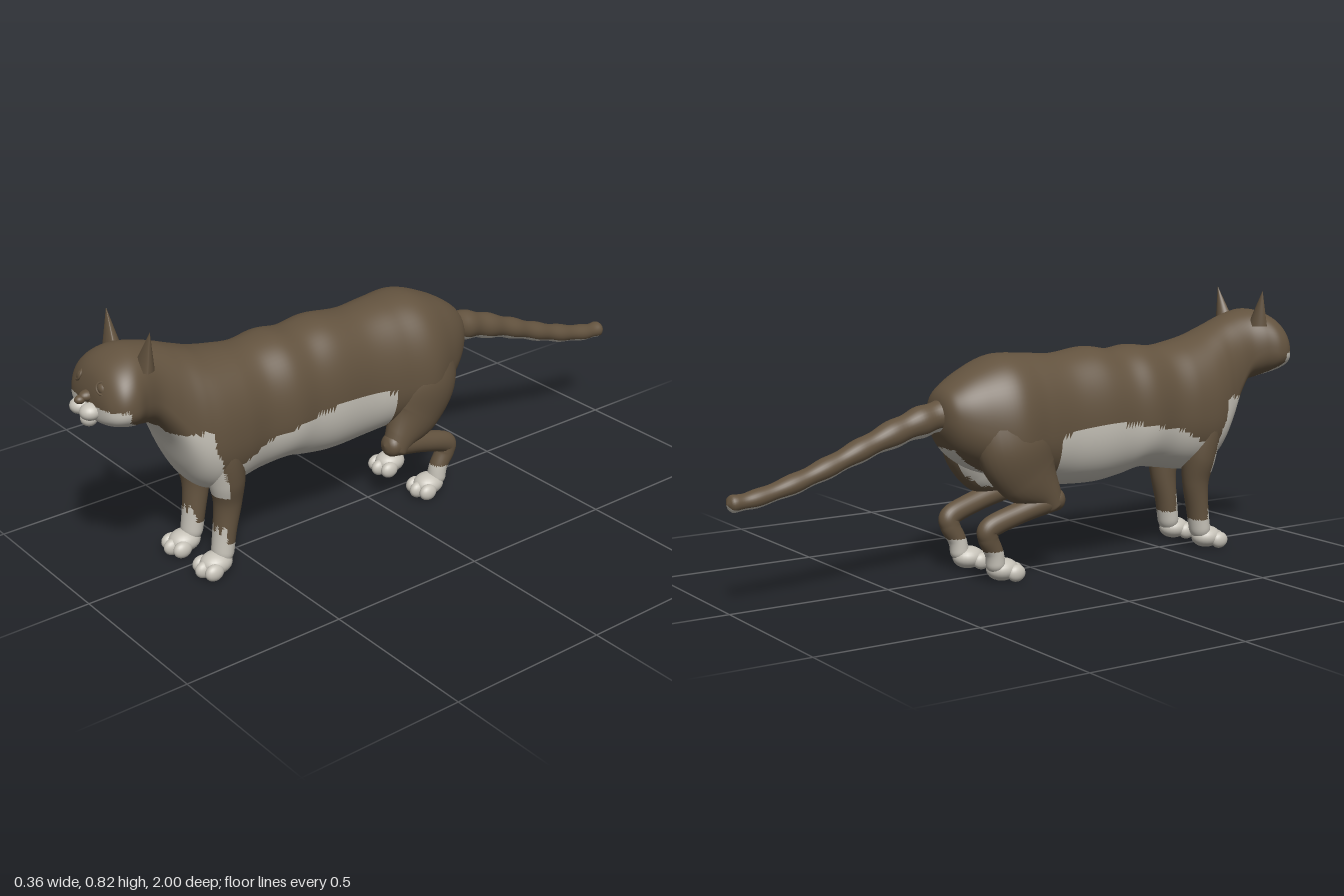
import * as THREE from 'three';

const brown = new THREE.MeshStandardMaterial({ color: 0x63533f });
brown.name = 'brown fur';
const white = new THREE.MeshStandardMaterial({ color: 0xc6c2b8 });
white.name = 'white fur';

// Skins a run of rings; isWhite(x, y, z, s) picks the colour of each face
function loft(name, rings, sides, ringPoint, isWhite) {
  const pos = [], sin = [], brownIdx = [], whiteIdx = [];
  for (let i = 0; i <= rings; i++) {
    for (let j = 0; j < sides; j++) {
      const a = (j / sides) * Math.PI * 2;
      const p = ringPoint(i / rings, Math.cos(a), Math.sin(a));
      pos.push(p.x, p.y, p.z);
      sin.push(Math.sin(a));
    }
  }
  const addFace = (...f) => {
    const mean = (k) => f.reduce((sum, v) => sum + pos[v * 3 + k], 0) / 3;
    const s = f.reduce((sum, v) => sum + sin[v], 0) / 3;
    (isWhite(mean(0), mean(1), mean(2), s) ? whiteIdx : brownIdx).push(...f);
  };
  for (let i = 0; i < rings; i++) {
    for (let j = 0; j < sides; j++) {
      const a = i * sides + j, b = i * sides + ((j + 1) % sides);
      addFace(a, b, a + sides);
      addFace(b, b + sides, a + sides);
    }
  }
  const g = new THREE.BufferGeometry();
  g.setAttribute('position', new THREE.Float32BufferAttribute(pos, 3));
  g.setIndex([...brownIdx, ...whiteIdx]);
  g.addGroup(0, brownIdx.length, 0);
  g.addGroup(brownIdx.length, whiteIdx.length, 1);
  g.computeVertexNormals();
  const mesh = new THREE.Mesh(g, [brown, white]);
  mesh.name = name;
  return mesh;
}

const curve = (pts) => new THREE.CatmullRomCurve3(pts.map((p) => new THREE.Vector3(...p)), false, 'catmullrom', 0.5);

// Round-ended limb through stations [x, y, z, side radius, depth radius]
function limb(name, stations, isWhite, wobble = () => 1, cap = 0.08) {
  const path = curve(stations.map((s) => s.slice(0, 3)));
  const radii = curve(stations.map((s) => [s[3], s[4], 0]));
  const X = new THREE.Vector3(1, 0, 0);
  return loft(name, 72, 28, (t, c, s) => {
    const p = path.getPoint(t), r = radii.getPoint(t);
    const T = path.getTangent(t);
    T.x = 0;
    const V = T.normalize().cross(X);
    const e = Math.min(1, Math.min(t, 1 - t) / cap);
    const k = Math.max(0.001, Math.sqrt(1 - (1 - e) ** 2)) * wobble(t);
    return p.addScaledVector(X, c * r.x * k).addScaledVector(V, s * r.y * k);
  }, isWhite);
}

function ball(name, material, x, y, z, rx, ry, rz) {
  const m = new THREE.Mesh(new THREE.SphereGeometry(1, 24, 16), material);
  m.name = name;
  m.position.set(x, y, z);
  m.scale.set(rx, ry, rz);
  return m;
}

// White chest bib, shared by the trunk and the upper front legs
const bib = (x, y, z) => y > 0.255 && y < 0.49 && Math.abs(x) < 0.15 && z > 0.6 + (y - 0.27) * 0.27;

function bodyWhite(x, y, z) {
  const ax = Math.abs(x);
  if (z > 0.78) return y < 0.62 && (z > 0.905 || y < 0.62 - 0.75 * (0.95 - z));
  if (bib(x, y, z)) return true;
  if (z > 0.64) return y < 0.57 && ax < 0.06;
  if (z > 0.57) return y < 0.4 && ax < 0.06;
  if (z > 0.01) return y < 0.415 + 0.03 * Math.sin((0.42 - z) * 7) - Math.max(0, z - 0.48) * 0.4;
  return y < 0.4 && ax < 0.05;
}

// Trunk, neck and head in one skin: [z, top, bottom, half width, widest height]
function makeBody() {
  const st = [
    [-0.337, 0.505, 0.495, 0.004, 0.5], [-0.325, 0.56, 0.44, 0.065, 0.5], [-0.29, 0.595, 0.38, 0.105, 0.48],
    [-0.22, 0.635, 0.33, 0.145, 0.45], [-0.13, 0.667, 0.3, 0.178, 0.43], [-0.03, 0.665, 0.27, 0.163, 0.43],
    [0.08, 0.657, 0.255, 0.15, 0.44], [0.2, 0.67, 0.25, 0.156, 0.45], [0.29, 0.658, 0.262, 0.155, 0.45],
    [0.37, 0.666, 0.28, 0.163, 0.45], [0.46, 0.657, 0.27, 0.15, 0.45], [0.54, 0.667, 0.257, 0.158, 0.45],
    [0.61, 0.682, 0.255, 0.158, 0.45], [0.66, 0.7, 0.285, 0.148, 0.46], [0.7, 0.716, 0.35, 0.133, 0.49],
    [0.74, 0.732, 0.45, 0.12, 0.54], [0.79, 0.747, 0.515, 0.112, 0.6], [0.84, 0.754, 0.53, 0.125, 0.625],
    [0.88, 0.746, 0.54, 0.14, 0.62], [0.915, 0.728, 0.55, 0.136, 0.615], [0.94, 0.7, 0.56, 0.115, 0.61],
    [0.955, 0.66, 0.575, 0.08, 0.61], [0.962, 0.613, 0.607, 0.004, 0.61],
  ];
  const height = curve(st.map((s) => [s[0], s[1], s[2]]));
  const width = curve(st.map((s) => [s[3], s[4], 0]));
  const soft = (v) => Math.sign(v) * Math.abs(v) ** 0.9;
  return loft('body', 176, 72, (t, c, s) => {
    const h = height.getPoint(t), w = width.getPoint(t);
    const reach = s > 0 ? h.y - w.y : w.y - h.z;
    return new THREE.Vector3(soft(c) * w.x, w.y + soft(s) * reach, h.x);
  }, bodyWhite);
}

// Cupped, pointed ear
function makeEar(side) {
  const g = new THREE.ConeGeometry(1, 1, 32, 10);
  const p = g.attributes.position;
  for (let i = 0; i < p.count; i++) {
    const h = p.getY(i) + 0.5;
    const z = p.getZ(i);
    p.setXYZ(i, side * 0.08 + p.getX(i) * 0.037 + side * 0.031 * h,
      0.705 + 0.115 * h, 0.834 - 0.014 * h + (z > 0 ? z * 0.012 : z * 0.035));
  }
  g.computeVertexNormals();
  const ear = new THREE.Mesh(g, brown);
  ear.name = 'ear';
  return ear;
}

function makePaw(name, x, z) {
  const paw = new THREE.Group();
  paw.name = name;
  paw.add(ball('pawPad', white, x, 0.038, z, 0.043, 0.034, 0.05));
  for (const d of [-1, 0, 1]) {
    paw.add(ball('toe', white, x + d * 0.033, 0.028, z + 0.04 - Math.abs(d) * 0.012, 0.02, 0.026, 0.03));
  }
  return paw;
}

export function createModel() {
  const cat = new THREE.Group();
  cat.name = 'cat';
  cat.add(makeBody());

  // Tail, from tip to rump, white underneath
  cat.add(limb('tail', [
    [0, 0.31, -1, 0.026, 0.024], [0, 0.316, -0.92, 0.028, 0.025], [0, 0.345, -0.8, 0.032, 0.028],
    [0, 0.385, -0.68, 0.034, 0.03], [0, 0.43, -0.56, 0.037, 0.034], [0, 0.47, -0.44, 0.042, 0.042],
    [0, 0.495, -0.34, 0.046, 0.047], [0, 0.5, -0.26, 0.046, 0.05],
  ], (x, y, z, s) => s < -0.6, (t) => 1 + 0.06 * Math.sin(t * 50), 0.04));

  // Muzzle, chin and nose
  cat.add(ball('chin', white, 0, 0.57, 0.957, 0.025, 0.023, 0.024));
  cat.add(ball('nose', brown, 0, 0.631, 0.98, 0.014, 0.012, 0.016));
  cat.add(ball('noseBridge', brown, 0, 0.637, 0.957, 0.019, 0.016, 0.025));

  for (const side of [-1, 1]) {
    cat.add(ball('muzzle', white, side * 0.026, 0.601, 0.965, 0.029, 0.024, 0.031));
    cat.add(makeEar(side));

    // Eye with a raised lid
    const eye = new THREE.Group();
    eye.name = 'eye';
    eye.position.set(side * 0.06, 0.674, 0.944);
    eye.rotation.set(-0.5, side * 0.45, side * -0.3);
    eye.add(ball('eyeball', brown, 0, 0, -0.004, 0.018, 0.014, 0.01));
    const lid = new THREE.Mesh(new THREE.TorusGeometry(0.019, 0.0035, 8, 28), brown);
    lid.name = 'eyelid';
    lid.scale.y = 0.85;
    eye.add(lid);
    cat.add(eye);

    // Front leg with a white sock
    cat.add(limb('frontLeg', [
      [side * 0.08, 0.5, 0.595, 0.06, 0.06], [side * 0.088, 0.4, 0.595, 0.066, 0.058],
      [side * 0.09, 0.3, 0.583, 0.056, 0.053], [side * 0.083, 0.22, 0.578, 0.042, 0.042],
      [side * 0.08, 0.13, 0.59, 0.038, 0.034], [side * 0.082, 0.03, 0.605, 0.036, 0.032],
    ], (x, y, z) => bib(x, y, z) || y < 0.1 || (z > 0.604 && y < 0.145 + 0.015 * Math.sin(x * 300))));
    cat.add(makePaw('frontPaw', side * 0.083, 0.625));

    // Hind thigh, white on the inside
    cat.add(limb('hindThigh', [
      [side * 0.085, 0.52, -0.15, 0.07, 0.1], [side * 0.1, 0.41, -0.125, 0.08, 0.125],
      [side * 0.11, 0.32, -0.085, 0.062, 0.105], [side * 0.12, 0.255, -0.03, 0.043, 0.055],
      [side * 0.122, 0.205, 0.002, 0.036, 0.035],
    ], (x, y, z) => Math.abs(x) < 0.075 && z < -0.04 && y < 0.4));

    // Hind shank and hock
    cat.add(limb('hindShank', [
      [side * 0.122, 0.24, 0.035, 0.036, 0.036], [side * 0.121, 0.229, -0.03, 0.037, 0.036],
      [side * 0.116, 0.205, -0.12, 0.033, 0.033], [side * 0.11, 0.172, -0.215, 0.03, 0.033],
      [side * 0.107, 0.14, -0.222, 0.029, 0.031], [side * 0.103, 0.09, -0.198, 0.029, 0.028],
      [side * 0.1, 0.03, -0.19, 0.031, 0.03],
    ], (x, y) => y < 0.1));
    cat.add(makePaw('hindPaw', side * 0.095, -0.165));
  }
  return cat;
}
